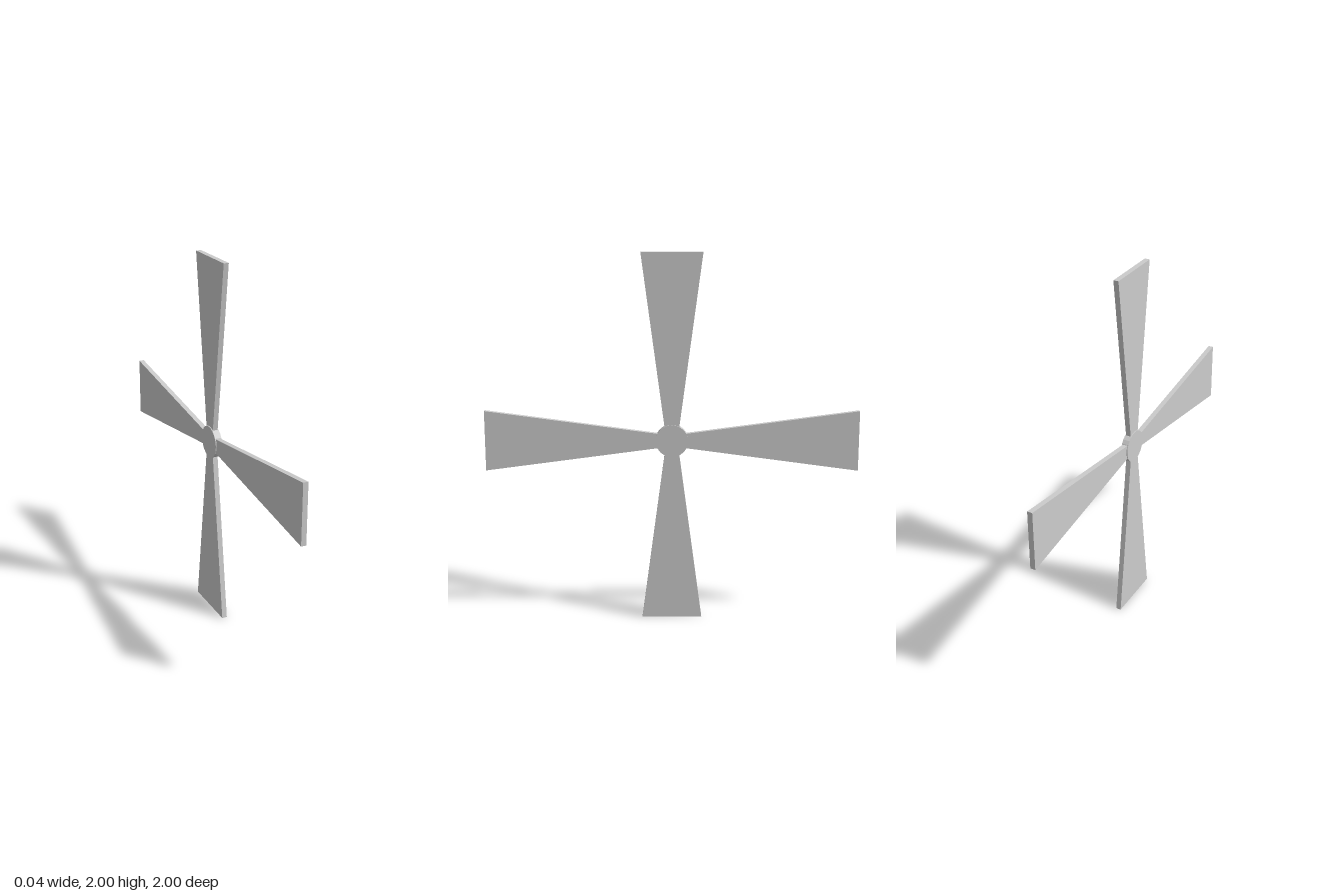
import * as THREE from 'three';

export function createModel() {
  const model = new THREE.Group();
  const material = new THREE.MeshStandardMaterial({ color: 0xcccccc, flatShading: true });
  const bladeThickness = 0.028, hubThickness = 0.038, hubRadius = 0.087;

  // Tapered blade outline, widening from the hub to a square-cut tip
  const outline = new THREE.Shape([
    new THREE.Vector2(-0.036, 0.05),
    new THREE.Vector2(0.036, 0.05),
    new THREE.Vector2(0.163, 1),
    new THREE.Vector2(-0.163, 1),
  ]);
  const bladeGeometry = new THREE.ExtrudeGeometry(outline, { depth: bladeThickness, bevelEnabled: false });
  bladeGeometry.translate(0, 0, -bladeThickness / 2);
  bladeGeometry.rotateY(Math.PI / 2);

  // Four blades around the x axis
  for (let i = 0; i < 4; i++) {
    const blade = new THREE.Mesh(bladeGeometry, material);
    blade.name = `blade${i + 1}`;
    blade.position.y = 1;
    blade.rotation.x = (i * Math.PI) / 2;
    model.add(blade);
  }

  // Round hub disc, slightly thicker than the blades
  const hub = new THREE.Mesh(new THREE.CylinderGeometry(hubRadius, hubRadius, hubThickness, 24), material);
  hub.name = 'hub';
  hub.rotation.z = Math.PI / 2;
  hub.position.y = 1;
  model.add(hub);

  return model;
}
